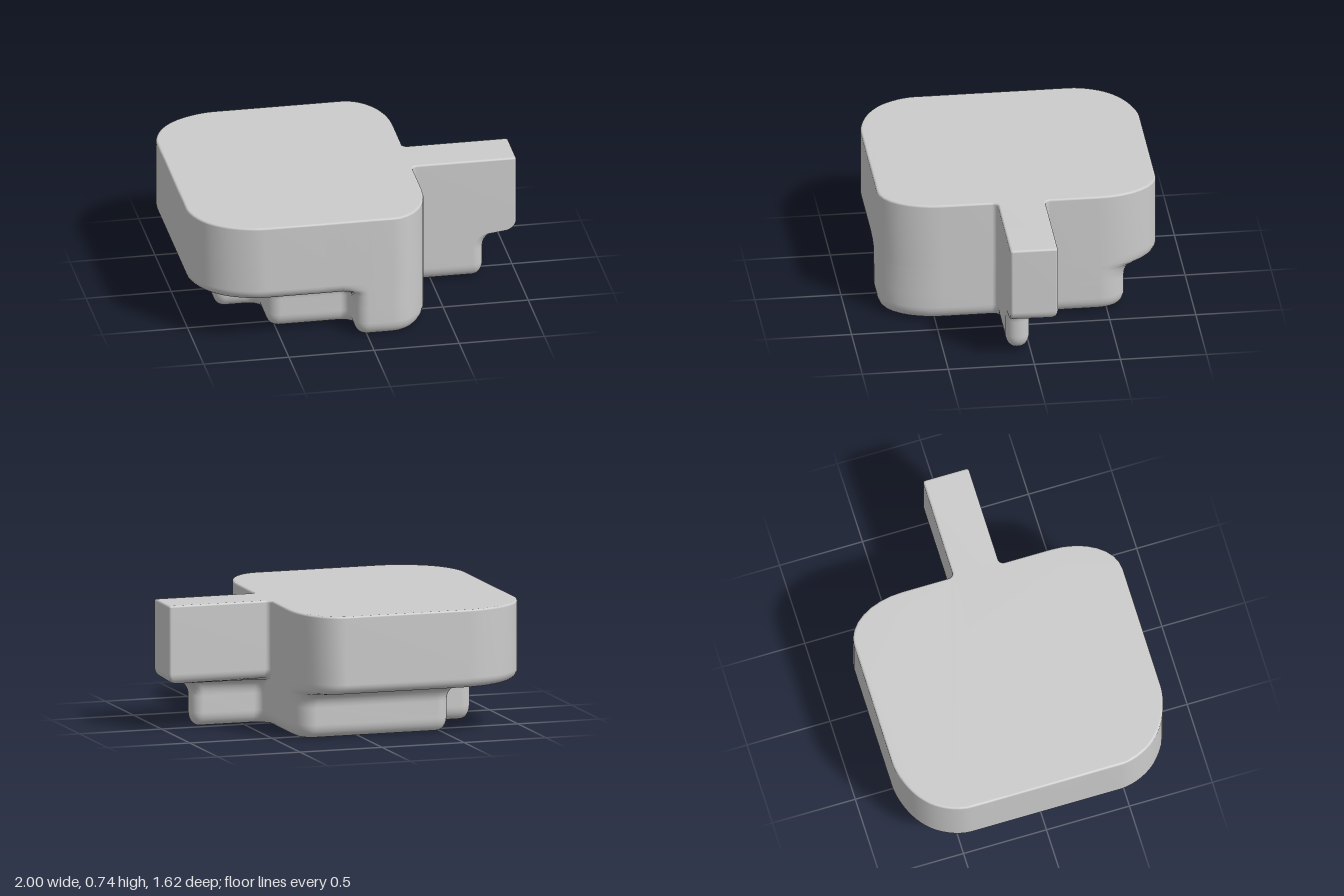
import * as THREE from 'three';

const STEPS = 8;

// Closed outline from corners [x, z, radius before, radius after], counter-clockwise from above
function outline(corners) {
  const pts = [];
  corners.forEach(([x, z, ra, rb = ra], i) => {
    const n = corners.length;
    const c = new THREE.Vector2(x, z);
    const toward = (k, r) => new THREE.Vector2(corners[k][0] - x, corners[k][1] - z).setLength(r);
    const a = toward((i + n - 1) % n, ra);
    const b = toward((i + 1) % n, rb);
    for (let s = 0; s <= STEPS; s++) {
      const t = (s / STEPS) * Math.PI / 2;
      pts.push(c.clone().addScaledVector(a, 1 - Math.sin(t)).addScaledVector(b, 1 - Math.cos(t)));
    }
  });
  return pts;
}

// Moves an outline inward by d along its mitred normals
function inset(pts, d) {
  const n = pts.length;
  const normal = (p, q) => new THREE.Vector2(p.y - q.y, q.x - p.x).normalize();
  return pts.map((p, i) => {
    const n1 = normal(pts[(i + n - 1) % n], p);
    const n2 = normal(p, pts[(i + 1) % n]);
    const m = n1.clone().add(n2);
    return p.clone().addScaledVector(m, -d / (1 + n1.dot(n2)));
  });
}

export function createModel() {
  // Upper plate with its arm, and the smaller stepped base; corners correspond one to one
  const upper = outline([
    [1, 0.138, 0.015], [1, -0.138, 0.015], [0.385, -0.138, 0.03], // arm
    [0.385, -0.81, 0.36, 0.235],
    [-0.75, -0.81, 0.15], [-1, -0.6, 0.15],
    [-1, -0.28, 0.05], [-1, 0.28, 0.05],
    [-1, 0.6, 0.15], [-0.75, 0.81, 0.15],
    [-0.2, 0.81, 0.05], [-0.05, 0.81, 0.06],
    [0.385, 0.81, 0.235, 0.36], [0.385, 0.138, 0.03],
  ]);
  const lower = outline([
    [0.81, 0.138, 0.065], [0.81, 0, 0.065], [0.385, 0, 0.05], // rib under the arm
    [0.385, -0.61, 0.16, 0.12],
    [-0.55, -0.61, 0.08], [-0.55, -0.28, 0.06],
    [-0.8, -0.28, 0.07], [-0.8, 0.28, 0.07],
    [-0.55, 0.28, 0.06], [-0.55, 0.6, 0.08],
    [-0.07, 0.6, 0.05], [-0.07, 0.81, 0.08],
    [0.385, 0.81, 0.235, 0.36], [0.385, 0.138, 0.03],
  ]);

  // Point a given distance from the upper outline toward the lower one
  const step = (distance) => upper.map((p, i) => {
    const d = p.distanceTo(lower[i]);
    return d < 1e-6 ? p.clone() : p.clone().lerp(lower[i], distance(d) / d);
  });

  const rings = [];
  const add = (y, pts) => rings.push({ y, pts });
  const arc = (count, f) => {
    for (let k = 0; k <= count; k++) {
      const t = (k / count) * Math.PI / 2;
      f(Math.sin(t), Math.cos(t));
    }
  };
  // Rounded top edge
  arc(3, (s, c) => add(0.728 + 0.012 * c, inset(upper, 0.012 * (1 - s))));
  // Rounded lower edge of the plate
  arc(6, (s, c) => add(0.34 - 0.06 * s, step((d) => Math.min(0.06, d * 0.4) * (1 - c))));
  // Hollow fillet from underside into the base
  arc(6, (s, c) => add(0.18 + 0.09 * c, step((d) => d - Math.min(0.09, d * 0.5) * (1 - s))));
  // Rounded bottom edge
  arc(6, (s, c) => add(0.08 - 0.08 * s, inset(lower, 0.055 * (1 - c))));

  const positions = [];
  const index = [];
  const n = upper.length;
  rings.forEach(({ y, pts }) => pts.forEach((p) => positions.push(p.x, y, p.y)));
  for (let r = 0; r < rings.length - 1; r++) {
    for (let j = 0; j < n; j++) {
      const k = (j + 1) % n;
      const a = r * n + j, b = a + n, d = r * n + k, c = d + n;
      index.push(a, b, c, a, c, d);
    }
  }
  // Flat top and bottom
  const cap = (r, flip) => {
    const contour = rings[r].pts.map((p) => new THREE.Vector2(p.x, -p.y));
    for (const [a, b, c] of THREE.ShapeUtils.triangulateShape(contour, [])) {
      const o = r * n;
      if (flip) index.push(o + a, o + c, o + b);
      else index.push(o + a, o + b, o + c);
    }
  };
  cap(0, false);
  cap(rings.length - 1, true);

  const geometry = new THREE.BufferGeometry();
  geometry.setAttribute('position', new THREE.Float32BufferAttribute(positions, 3));
  geometry.setIndex(index);
  geometry.computeVertexNormals();

  const body = new THREE.Mesh(geometry, new THREE.MeshStandardMaterial({ color: 0xcccccc }));
  body.name = 'steppedBodyWithArm';
  const group = new THREE.Group();
  group.name = 'steppedBlock';
  group.add(body);
  return group;
}
